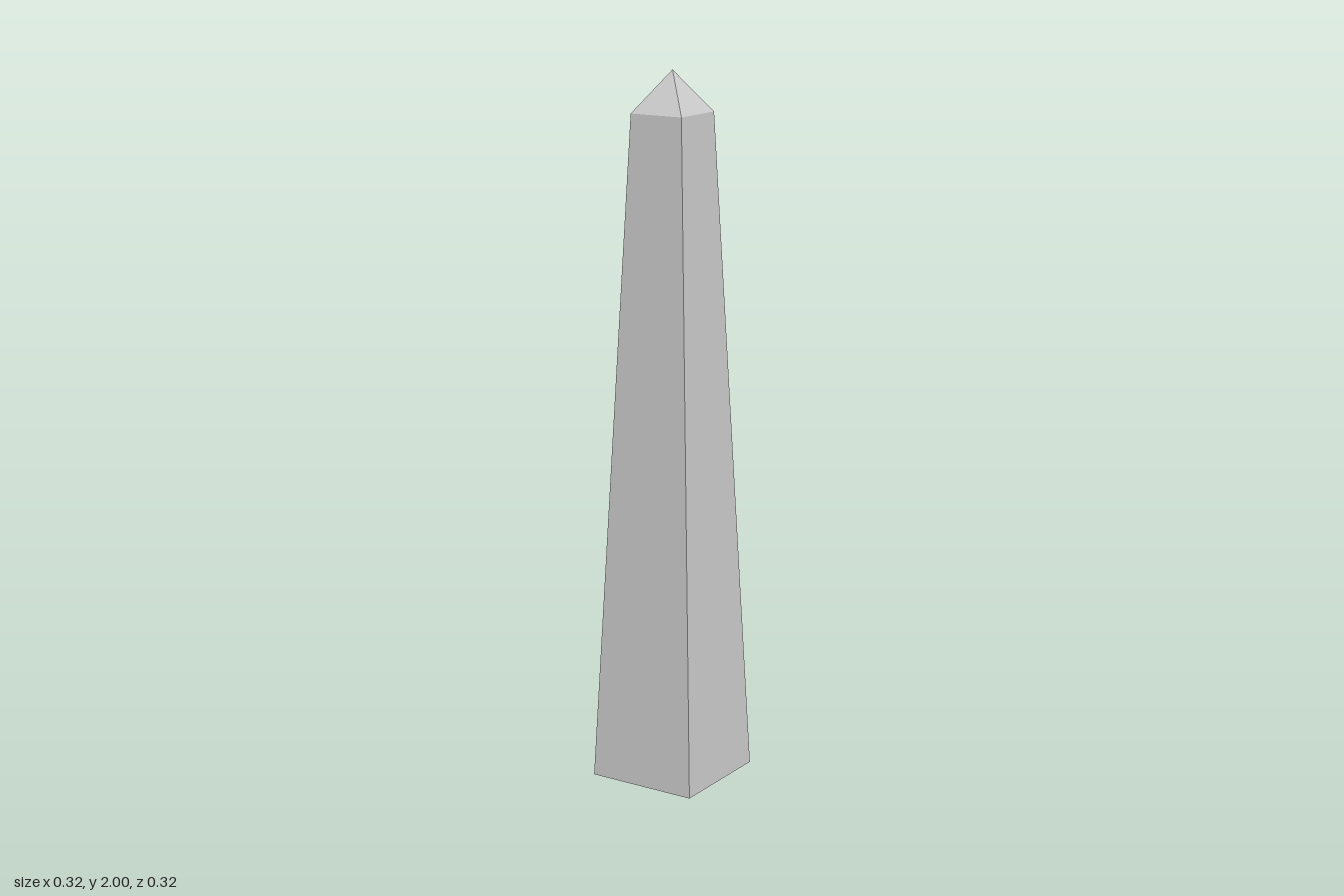
import * as THREE from 'three';

const BASE = 0.162; // half width at the ground
const NECK = 0.081; // half width where the cap starts
const SHOULDER = 1.885; // height where the cap starts
const TOP = 2;

const material = new THREE.MeshStandardMaterial({ color: 0xcccccc, flatShading: true });

// Gives each face its own flat normals
function addPart(group, name, geometry) {
  const flat = geometry.toNonIndexed();
  flat.computeVertexNormals();
  const mesh = new THREE.Mesh(flat, material);
  mesh.name = name;
  group.add(mesh);
}

// Open four-sided section whose faces look along the axes
function squareSection(topHalf, bottomHalf, y0, y1) {
  return new THREE.CylinderGeometry(topHalf * Math.SQRT2, bottomHalf * Math.SQRT2, y1 - y0, 4, 1, true)
    .rotateY(Math.PI / 4)
    .translate(0, (y0 + y1) / 2, 0);
}

export function createModel() {
  const obelisk = new THREE.Group();
  obelisk.name = 'obelisk';

  // Tapered shaft
  addPart(obelisk, 'shaft', squareSection(NECK, BASE, 0, SHOULDER));

  // Pyramid cap
  addPart(obelisk, 'pyramidCap', squareSection(0, NECK, SHOULDER, TOP));

  // Underside
  addPart(obelisk, 'underside', new THREE.PlaneGeometry(BASE * 2, BASE * 2).rotateX(Math.PI / 2));

  return obelisk;
}
